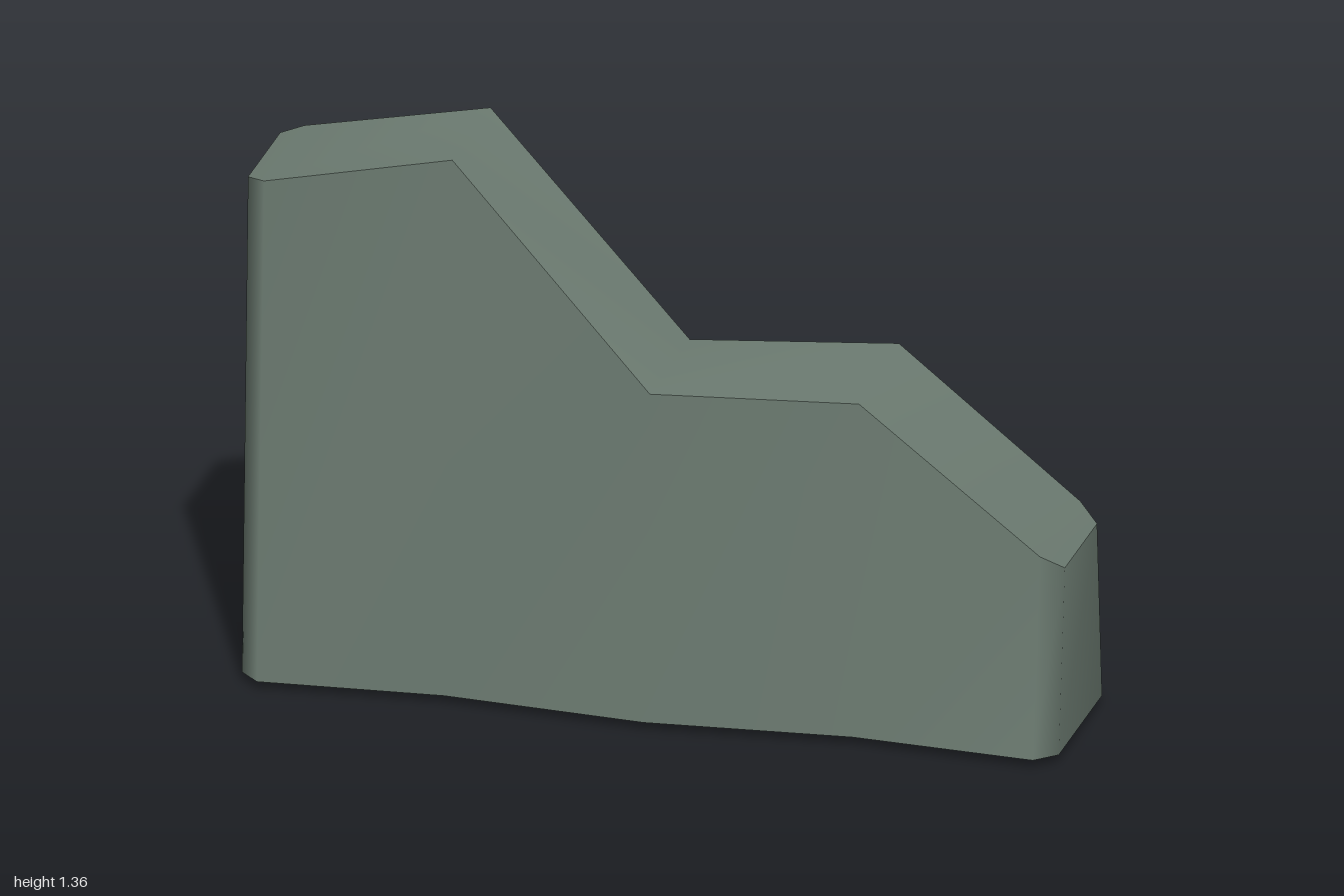
import * as THREE from 'three';

// Cross-sections along x: [x, base front z, base back z, top front z, top back z, top front y, top back y, base back y]
const SECTIONS = [
  [-1.0, 0.19, -0.2, 0.135, -0.155, 1.26, 1.26, 0.02],
  [-0.95, 0.24, -0.255, 0.175, -0.19, 1.27, 1.27, 0.02],
  [-0.5, 0.21, -0.215, 0.135, -0.21, 1.355, 1.355, 0.02],
  [0.0, 0.25, -0.25, 0.195, -0.165, 0.835, 0.835, 0.02],
  [0.5, 0.21, -0.23, 0.15, -0.21, 0.845, 0.86, 0],
  [0.95, 0.24, -0.255, 0.175, -0.19, 0.513, 0.513, 0.02],
  [1.0, 0.19, -0.2, 0.135, -0.155, 0.475, 0.475, 0.02],
];

function surface(points, quads) {
  const geometry = new THREE.BufferGeometry();
  geometry.setAttribute('position', new THREE.Float32BufferAttribute(points.flat(), 3));
  geometry.setIndex(quads.flatMap(([a, b, c, d]) => [a, b, c, a, c, d]));
  geometry.computeVertexNormals();
  return geometry;
}

export function createModel() {
  const stone = new THREE.MeshStandardMaterial({ color: 0x6b7a70, side: THREE.DoubleSide });
  stone.name = 'grey green stone';
  const group = new THREE.Group();
  group.name = 'brokenWall';

  const add = (name, geometry) => {
    const mesh = new THREE.Mesh(geometry, stone);
    mesh.name = name;
    group.add(mesh);
  };

  // Base and top outlines, along the front and returning along the back
  const back = [...SECTIONS].reverse();
  const base = [
    ...SECTIONS.map(s => [s[0], 0.02, s[1]]),
    ...back.map(s => [s[0], s[7], s[2]]),
  ];
  const top = [
    ...SECTIONS.map(s => [s[0], s[5], s[3]]),
    ...back.map(s => [s[0], s[6], s[4]]),
  ];
  const n = base.length;

  // Smooth tapering sides, open underneath
  const sideQuads = base.map((_, i) => {
    const j = (i + 1) % n;
    return [i, j, n + j, n + i];
  });
  add('wallSides', surface([...base, ...top], sideQuads));

  // Stepped top strip, with a hard edge against the sides
  const topQuads = SECTIONS.slice(1).map((_, i) => [i, i + 1, n - 2 - i, n - 1 - i]);
  add('wallTop', surface(top, topQuads));

  return group;
}
